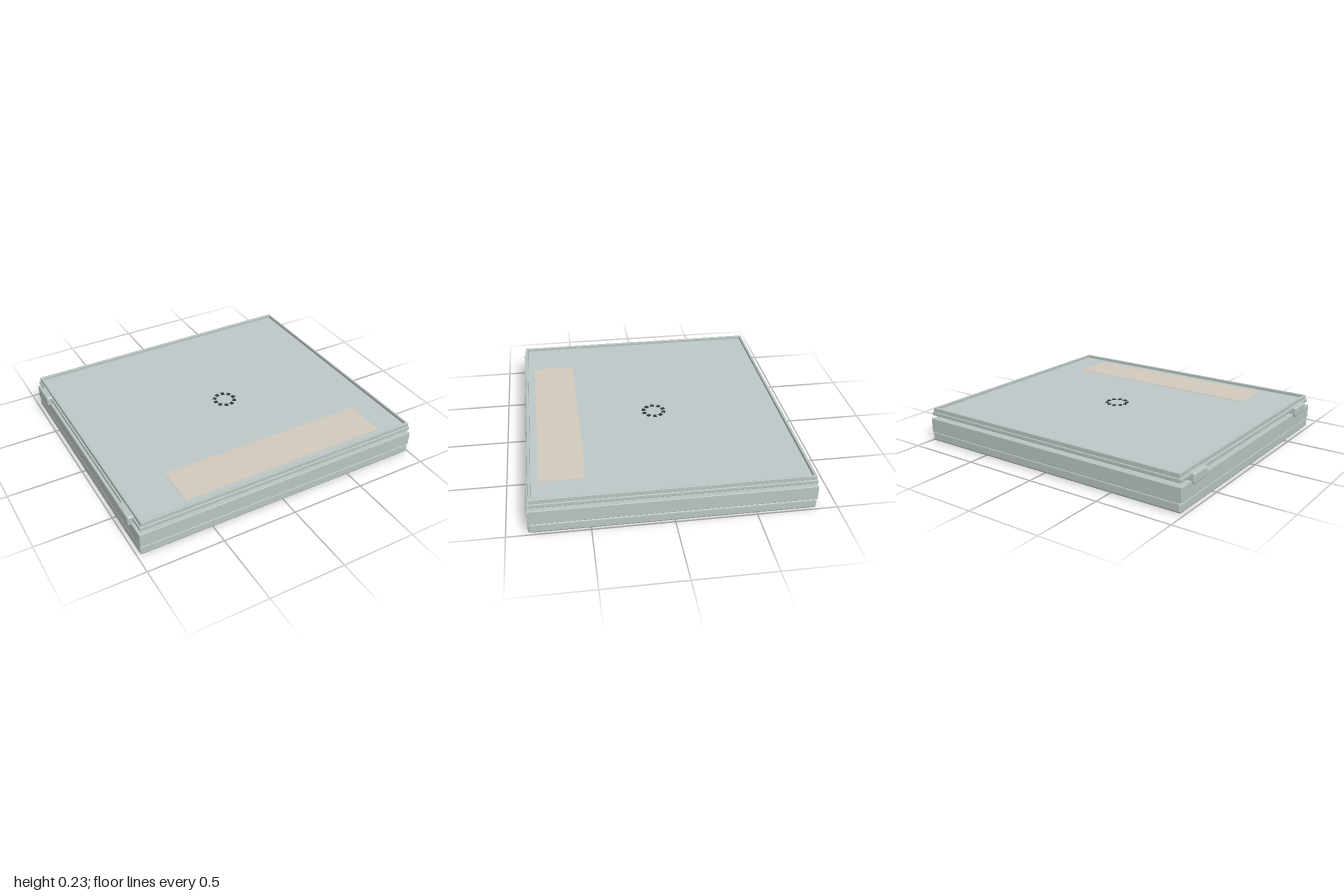
import * as THREE from 'three';
import { RoundedBoxGeometry } from 'three/addons/geometries/RoundedBoxGeometry.js';

const mat = (color) => new THREE.MeshStandardMaterial({ color });
const plastic = mat(0xb9c5c1), clear = mat(0xbec8c8), dark = mat(0x343837);
const paper = mat(0xd2cabb), silver = mat(0xc4cacc);
const HUB_X = 0.07;

export function createModel() {
  const model = new THREE.Group();
  model.name = 'discCase';

  const add = (name, geometry, material, x = 0, y = 0, z = 0, parent = model) => {
    const mesh = new THREE.Mesh(geometry, material);
    mesh.name = name;
    mesh.position.set(x, y, z);
    parent.add(mesh);
    return mesh;
  };
  // Box given by its lower and upper limits
  const block = (name, [x0, x1], [y0, y1], [z0, z1], material, r = 0, parent = model) => {
    const size = [x1 - x0, y1 - y0, z1 - z0];
    const g = r ? new RoundedBoxGeometry(...size, 3, r) : new THREE.BoxGeometry(...size);
    return add(name, g, material, (x0 + x1) / 2, (y0 + y1) / 2, (z0 + z1) / 2, parent);
  };
  const rectangle = (Type, x0, x1, z) => new Type([
    new THREE.Vector2(x0, -z), new THREE.Vector2(x1, -z),
    new THREE.Vector2(x1, z), new THREE.Vector2(x0, z),
  ]);
  // Flat plate with one hole, standing from y0 to y1, edges slightly bevelled
  const plate = (name, shape, hole, y0, y1, bevel, material, parent = model) => {
    shape.holes.push(hole);
    const g = new THREE.ExtrudeGeometry(shape, {
      depth: y1 - y0 - 2 * bevel, bevelThickness: bevel, bevelSize: bevel,
      bevelOffset: -bevel, bevelSegments: 2, curveSegments: 48,
    });
    g.rotateX(-Math.PI / 2);
    return add(name, g, material, 0, y0 + bevel, 0, parent);
  };

  // Base: rounded bottom shell and a tray with a round recess
  block('bottomShell', [-0.98, 0.99], [0, 0.07], [-0.87, 0.87], plastic, 0.016);
  const recess = new THREE.Path().absarc(HUB_X, 0, 0.8, 0, Math.PI * 2, true);
  plate('tray', rectangle(THREE.Shape, -0.98, 0.99, 0.87), recess, 0.065, 0.16, 0.004, plastic);
  add('recessFloor', new THREE.CylinderGeometry(0.81, 0.81, 0.05, 64), plastic, HUB_X, 0.1, 0);

  // Disc resting in the recess
  const disc = new THREE.Shape().absarc(HUB_X, 0, 0.76, 0, Math.PI * 2);
  const discHole = new THREE.Path().absarc(HUB_X, 0, 0.1, 0, Math.PI * 2, true);
  plate('disc', disc, discHole, 0.135, 0.15, 0.002, silver);

  // Hub with a ring of gripping teeth
  const hub = new THREE.Group();
  hub.name = 'hub';
  hub.position.x = HUB_X;
  model.add(hub);
  add('hubCollar', new THREE.CylinderGeometry(0.2, 0.22, 0.02, 48), dark, 0, 0.156, 0, hub);
  for (let i = 0; i < 10; i++) {
    const a = (i / 10) * Math.PI * 2;
    const tooth = add('hubTooth', new THREE.BoxGeometry(0.025, 0.055, 0.024), dark,
      0.068 * Math.cos(a), 0.1875, 0.068 * Math.sin(a), hub);
    tooth.rotation.y = -a;
  }

  // Ribs along the hinge side of the tray
  for (let i = 0; i < 22; i++) {
    const z = -0.55 + (i * 1.1) / 21;
    block('spineRib', [-0.93, -0.85], [0.155, 0.166], [z - 0.012, z + 0.012], dark);
  }

  // Lid: stepped rim around a recessed panel with a paper label
  const lid = new THREE.Group();
  lid.name = 'lid';
  model.add(lid);
  plate('lidLowerRim', rectangle(THREE.Shape, -0.97, 0.985, 0.862),
    rectangle(THREE.Path, -0.945, 0.965, 0.838), 0.18, 0.205, 0.004, plastic, lid);
  plate('lidUpperRim', rectangle(THREE.Shape, -0.96, 0.978, 0.855),
    rectangle(THREE.Path, -0.945, 0.965, 0.838), 0.203, 0.233, 0.003, plastic, lid);
  block('lidPanel', [-0.95, 0.97], [0.19, 0.212], [-0.842, 0.842], clear, 0, lid);
  block('label', [-0.64, 0.78], [0.209, 0.214], [0.51, 0.79], paper, 0, lid);

  // Two hinge lugs on the spine side
  for (const side of [-1, 1]) {
    const z = side * 0.683;
    block('hinge', [-1, -0.935], [0.143, 0.211], [z - 0.075, z + 0.075], plastic, 0.014);
  }
  return model;
}
